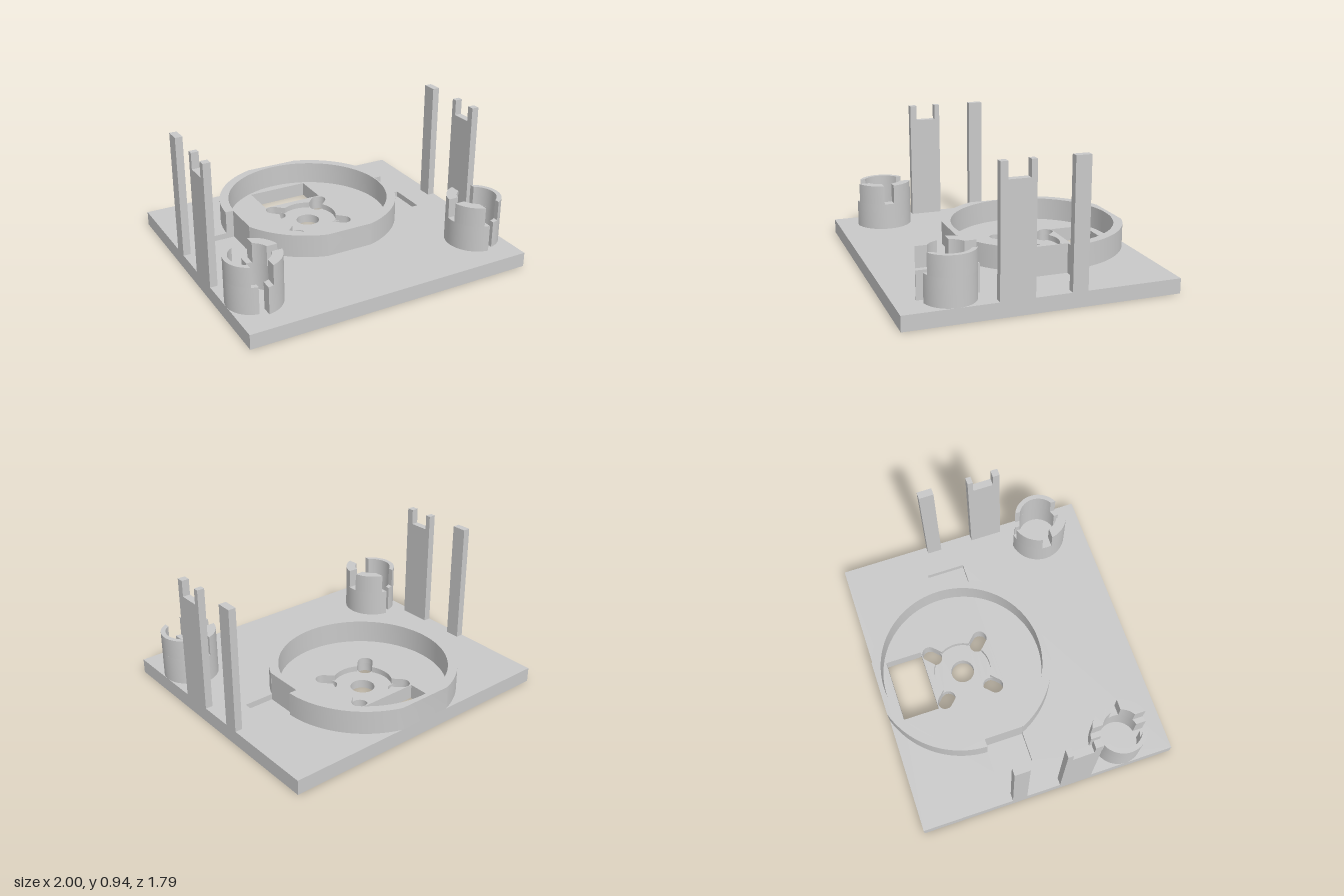
import * as THREE from 'three';
import { toCreasedNormals } from 'three/addons/utils/BufferGeometryUtils.js';

const grey = new THREE.MeshStandardMaterial({ color: 0xc8c8c8 });
grey.name = 'grey plastic';

const PLATE_TOP = 0.1;
const POCKET_FLOOR = 0.06;
const RING_Z = -0.3;

// Points along an arc in plan, as [x, z]
function arc(cx, cz, r, from, to, steps = 24) {
  return Array.from({ length: steps + 1 }, (_, i) => {
    const a = from + ((to - from) * i) / steps;
    return [cx + r * Math.cos(a), cz + r * Math.sin(a)];
  });
}
const circle = (cx, cz, r, steps = 64) => arc(cx, cz, r, 0, Math.PI * 2, steps).slice(0, -1);
const rect = (x0, x1, z0, z1) => [[x0, z0], [x1, z0], [x1, z1], [x0, z1]];
const mirrorX = (points, s) => points.map(([x, z]) => [x * s, z]);

// Plan outline as shape points, wound one way so that all walls face outwards
function wound(points, clockwise) {
  const out = points.map(([x, z]) => new THREE.Vector2(x, -z));
  return THREE.ShapeUtils.isClockWise(out) === clockwise ? out : out.reverse();
}

// Extrudes a plan outline upwards from y0 to y1
function slab(name, outline, y0, y1, holes = []) {
  const shape = new THREE.Shape(wound(outline, false));
  shape.holes = holes.map((h) => new THREE.Path(wound(h, true)));
  const extruded = new THREE.ExtrudeGeometry(shape, { depth: y1 - y0, bevelEnabled: false });
  extruded.rotateX(-Math.PI / 2).translate(0, y0, 0);
  const mesh = new THREE.Mesh(toCreasedNormals(extruded, 0.5), grey);
  mesh.name = name;
  return mesh;
}

// Base plate in two layers: through holes below, pockets and round recess above
function basePlate() {
  const group = new THREE.Group();
  group.name = 'basePlate';
  const outline = rect(-1, 1, -0.895, 0.895);
  const window = rect(-0.22, 0.22, -0.8, -0.545);
  const slots = [];
  const recess = [];
  const slotR = 0.052;
  const spread = Math.asin(slotR / 0.2);
  for (let i = 0; i < 4; i++) {
    const a = Math.PI / 4 + (i * Math.PI) / 2;
    const end = (r, from, to) =>
      arc(r * Math.cos(a), RING_Z + r * Math.sin(a), slotR, a + from, a + to, 12);
    const tip = end(0.266, -Math.PI / 2, Math.PI / 2);
    slots.push([...tip, ...end(0.224, Math.PI / 2, Math.PI * 1.5)]);
    recess.push(...tip, ...arc(0, RING_Z, 0.2, a + spread, a + Math.PI / 2 - spread, 12));
  }
  const centreHole = circle(0, RING_Z, 0.081, 40);
  const pockets = [-1, 1].map((s) => mirrorX(rect(0.57, 0.777, -0.318, -0.047), s));
  group.add(
    slab('plateFloor', outline, 0, POCKET_FLOOR, [window, centreHole, ...slots]),
    slab('plateSurface', outline, POCKET_FLOOR, PLATE_TOP, [window, recess, ...pockets])
  );
  return group;
}

// Round rim, flattened at front and back and cut back beside the pockets
function rim() {
  const R = 0.625;
  const angle = (z) => Math.asin(z / R);
  const half = [
    ...arc(0, RING_Z, R, angle(-0.595), angle(-0.018)),
    [0.57, -0.318],
    [0.57, -0.047],
    ...arc(0, RING_Z, R, angle(0.253), angle(0.603)),
  ];
  const outline = [...half, ...mirrorX(half, -1).reverse()];
  return slab('rim', outline, PLATE_TOP, 0.26, [circle(0, RING_Z, 0.563, 96)]);
}

// Plain post and fork-topped post on one side edge
function posts(s) {
  const group = new THREE.Group();
  group.name = s > 0 ? 'leftPosts' : 'rightPosts';
  const post = (name, z0, z1, y0, y1) =>
    group.add(slab(name, mirrorX(rect(0.95, 1, z0, z1), s), y0, y1));
  post('plainPost', -0.262, -0.16, PLATE_TOP, 0.937);
  post('forkPost', 0.077, 0.302, PLATE_TOP, 0.83);
  post('forkProngBack', 0.077, 0.114, 0.83, 0.937);
  post('forkProngFront', 0.254, 0.302, 0.83, 0.937);
  return group;
}

// Split round holder: thin outer jaw and thick, notched inner jaw
function holder(s) {
  const group = new THREE.Group();
  group.name = s > 0 ? 'leftHolder' : 'rightHolder';
  const CX = 0.832, CZ = 0.556, STEP = 0.285, TOP = 0.42;

  // Jaw section beyond distance d from the centre, facing dir along x
  const jaw = (name, dir, rIn, rOut, d, y0, y1, notch = 0, side = 1) => {
    const edge = (r) => {
      const end = Math.acos(d / r);
      return arc(0, 0, r, notch ? Math.asin(notch / r) : -end, end, 28);
    };
    const outline = [...edge(rOut), ...edge(rIn).reverse()]
      .map(([x, z]) => [s * (CX + dir * x), CZ + side * z]);
    group.add(slab(name, outline, y0, y1));
  };
  jaw('outerJawBase', 1, 0.136, 0.168, 0.025, PLATE_TOP, STEP);
  jaw('outerJawTop', 1, 0.136, 0.168, 0.068, STEP, TOP);
  jaw('innerJawBase', -1, 0.13, 0.199, 0.025, PLATE_TOP, STEP);
  for (const side of [-1, 1]) {
    jaw('innerJawTop', -1, 0.13, 0.199, 0.063, STEP, TOP, 0.035, side);
  }
  return group;
}

export function createModel() {
  const model = new THREE.Group();
  model.name = 'mountingPlate';
  model.add(basePlate(), rim());
  for (const s of [-1, 1]) model.add(posts(s), holder(s));
  return model;
}
